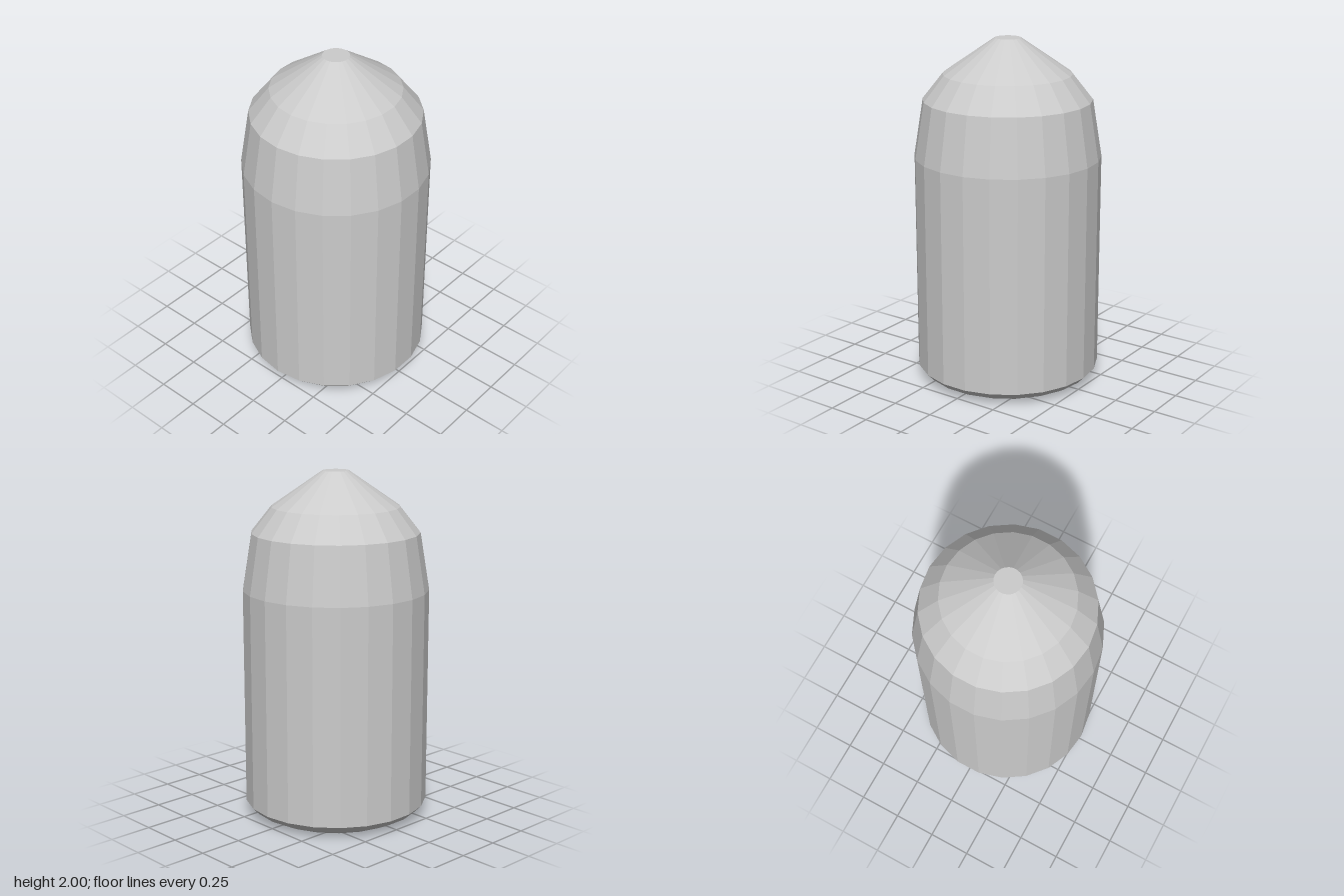
import * as THREE from 'three';

const SIDES = 22;

// Faceted surface of revolution; profile listed upward faces out, downward faces in
function turned(name, profile) {
  const points = profile.map(([r, y]) => new THREE.Vector2(r, y));
  const material = new THREE.MeshStandardMaterial({ color: 0xcccccc, flatShading: true });
  const mesh = new THREE.Mesh(new THREE.LatheGeometry(points, SIDES), material);
  mesh.name = name;
  return mesh;
}

export function createModel() {
  const group = new THREE.Group();
  group.name = 'hollowCappedCylinder';

  // Rounded bottom rim
  group.add(turned('bottomRim', [[0.405, 0], [0.425, 0.005], [0.495, 0.04], [0.533, 0.08]]));

  // Straight outer wall
  group.add(turned('outerWall', [[0.533, 0.08], [0.533, 1.33]]));

  // Tapering shoulder and conical nose with a small flat tip
  group.add(turned('nose', [[0.533, 1.33], [0.48, 1.655], [0.365, 1.8], [0.075, 2], [0, 2]]));

  // Hollow inside, from the top down to the opening
  group.add(turned('innerWall', [
    [0, 1.95], [0.06, 1.95], [0.345, 1.78], [0.46, 1.64], [0.515, 1.32], [0.515, 0.28], [0.405, 0],
  ]));

  return group;
}
